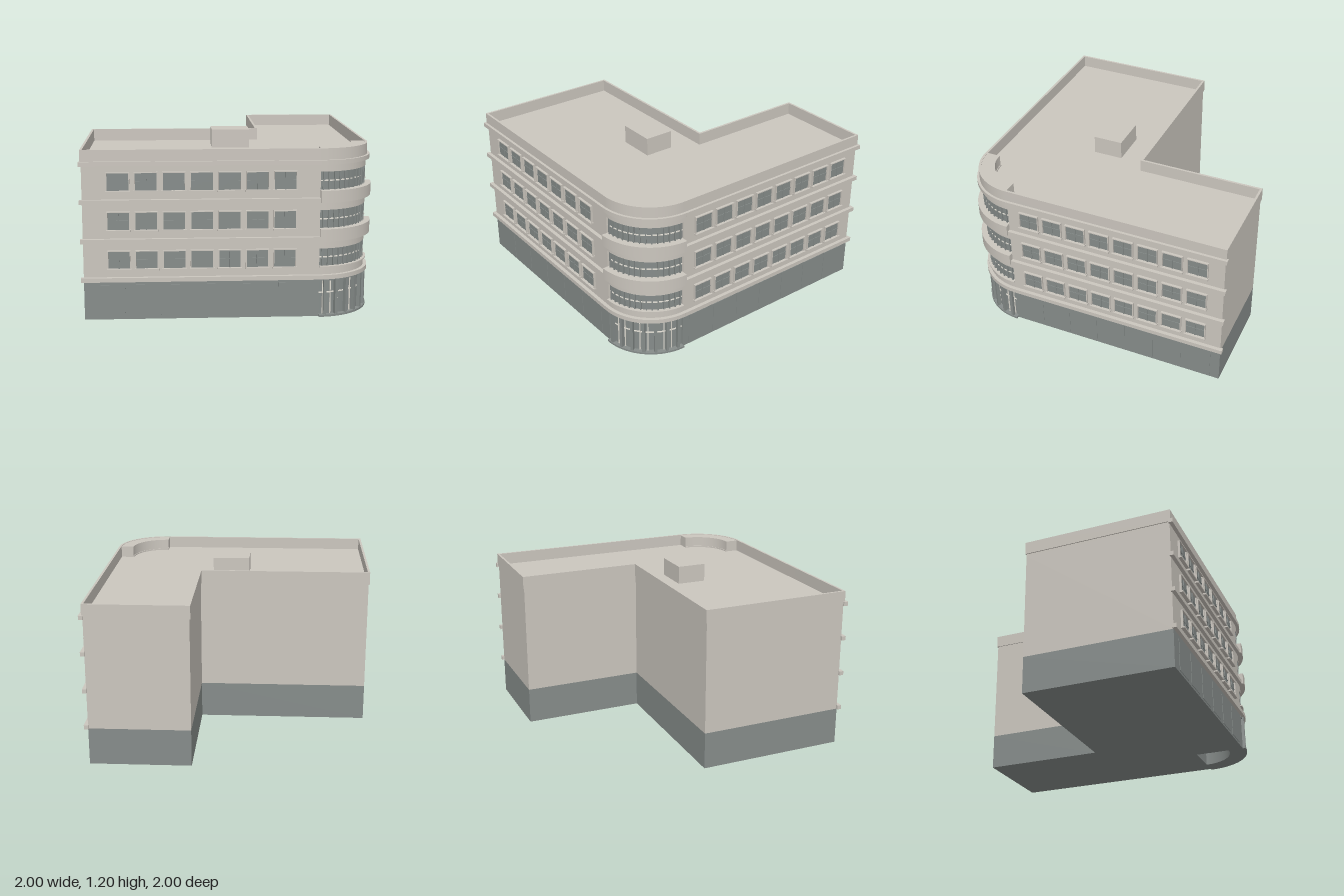
import * as THREE from 'three';
import { toCreasedNormals } from 'three/addons/utils/BufferGeometryUtils.js';

const material = (name, color) => {
  const m = new THREE.MeshStandardMaterial({ color });
  m.name = name;
  return m;
};
const C = 0.6;       // centre of the rounded corner in x and z
const WALL = 0.96;   // plane of the two street walls
const STOREYS = [0.355, 0.62, 0.885];

export function createModel() {
  const stone = material('stone', 0xcbc6be);
  const grey = material('grey glass and plinth', 0x868c8a);
  const cream = material('cream frames', 0xe4e0d6);

  const model = new THREE.Group();
  model.name = 'cornerBuilding';

  const add = (parent, name, geometry, mat) => {
    const mesh = new THREE.Mesh(geometry, mat);
    mesh.name = name;
    parent.add(mesh);
    return mesh;
  };

  // box from its limits
  const box = (parent, name, mat, x0, x1, y0, y1, z0, z1) => {
    const m = add(parent, name, new THREE.BoxGeometry(x1 - x0, y1 - y0, z1 - z0), mat);
    m.position.set((x0 + x1) / 2, (y0 + y1) / 2, (z0 + z1) / 2);
    return m;
  };

  // floor plan (x, z) raised between two heights
  const raise = (parent, name, mat, shape, y0, y1) => {
    const g = new THREE.ExtrudeGeometry(shape, { depth: y1 - y0, bevelEnabled: false, curveSegments: 32 });
    g.rotateX(Math.PI / 2);
    g.translate(0, y1, 0);
    return add(parent, name, toCreasedNormals(g, 0.5), mat);
  };

  // L plan drawn d inside the parapet's outer edge, corner rounded or notched
  const plan = (d, rounded, Type = THREE.Shape) => {
    const s = new Type();
    const back = -0.99 + d, inX = 0.245 + d, inZ = -0.108 + d, front = 0.967 - d;
    s.moveTo(back, inZ);
    s.lineTo(inX, inZ);
    s.lineTo(inX, back);
    s.lineTo(front, back);
    s.lineTo(front, C);
    if (rounded) s.absarc(C, C, front - C, 0, Math.PI / 2, false);
    else s.lineTo(C, C);
    s.lineTo(C, front);
    s.lineTo(back, front);
    s.closePath();
    return s;
  };

  // quarter ring around the corner
  const quarter = (name, mat, r0, r1, y0, y1) => {
    const s = new THREE.Shape();
    s.moveTo(C + r0, C);
    s.lineTo(C + r1, C);
    s.absarc(C, C, r1, 0, Math.PI / 2, false);
    s.lineTo(C, C + r0);
    s.absarc(C, C, r0, Math.PI / 2, 0, true);
    return raise(model, name, mat, s, y0, y1);
  };

  // upright bars spread evenly around the corner
  const cornerBars = (name, mat, count, r, width, depth, y0, y1) => {
    const g = new THREE.BoxGeometry(depth, y1 - y0, width);
    for (let i = 0; i < count; i++) {
      const a = ((i + 0.5) / count) * Math.PI / 2;
      const m = add(model, name, g, mat);
      m.position.set(C + r * Math.cos(a), (y0 + y1) / 2, C + r * Math.sin(a));
      m.rotation.y = -a;
    }
  };

  // main body, roof and parapet
  raise(model, 'groundFloor', grey, plan(0.007, false), 0, 0.265);
  raise(model, 'upperWalls', stone, plan(0.007, false), 0.265, 1.05);
  raise(model, 'roof', stone, plan(0.007, true), 1.05, 1.07);
  const parapet = plan(0, true);
  parapet.holes.push(plan(0.016, true, THREE.Path));
  raise(model, 'parapet', stone, parapet, 1.065, 1.157);
  quarter('cornerParapet', stone, 0.255, 0.36, 1.07, 1.154);
  box(model, 'roofHatch', stone, -0.1, 0.17, 1.07, 1.2, 0.1, 0.31);

  // rounded corner: walls, ledges and balcony-like bands
  for (const [y0, y1] of [[0.295, 0.345], [0.475, 0.53], [0.74, 0.795], [1.0, 1.05]])
    quarter('cornerWall', stone, 0.25, 0.36, y0, y1);
  for (const [y0, y1, r] of [[0.265, 0.295, 0.385], [0.53, 0.615, 0.398], [0.795, 0.877, 0.398], [1.05, 1.08, 0.385]])
    quarter('cornerBand', stone, 0.25, r, y0, y1);
  quarter('cornerSill', stone, 0.25, 0.375, 0.345, 0.353);

  // curved strip windows
  for (const [y0, y1] of [[0.353, 0.475], [0.615, 0.74], [0.877, 1.0]]) {
    const mid = (y0 + y1) / 2;
    quarter('cornerGlass', grey, 0.25, 0.346, y0, y1);
    quarter('cornerTransom', cream, 0.34, 0.35, mid - 0.004, mid + 0.004);
    cornerBars('cornerMullion', grey, 14, 0.35, 0.008, 0.014, y0, y1);
  }

  // curved shop front
  quarter('shopBase', grey, 0.25, 0.38, 0, 0.014);
  quarter('shopGlass', grey, 0.25, 0.346, 0.014, 0.265);
  quarter('shopTransom', cream, 0.34, 0.351, 0.162, 0.17);
  quarter('shopHead', grey, 0.34, 0.362, 0.25, 0.265);
  cornerBars('shopMullion', cream, 10, 0.347, 0.006, 0.012, 0.014, 0.25);
  cornerBars('shopPier', grey, 7, 0.362, 0.02, 0.026, 0.014, 0.265);

  // one double window with surround and sill, u is its centre
  const windowUnit = (parent, u, y, w) => {
    const h = 0.118, a = u - w / 2, b = u + w / 2, t = 0.006;
    const g = new THREE.Group();
    g.name = 'window';
    parent.add(g);
    box(g, 'glass', grey, a, b, y, y + h, WALL - 0.004, WALL + 0.004);
    box(g, 'jamb', stone, a - t, a, y, y + h, WALL - 0.004, 0.975);
    box(g, 'jamb', stone, b, b + t, y, y + h, WALL - 0.004, 0.975);
    box(g, 'lintel', stone, a - t, b + t, y + h, y + h + t, WALL - 0.004, 0.978);
    box(g, 'sill', stone, a - 0.01, b + 0.01, y - 0.011, y, WALL - 0.004, 0.985);
    box(g, 'mullion', grey, u - 0.004, u + 0.004, y, y + h, WALL, 0.969);
    box(g, 'transom', grey, a, b, y + 0.057, y + 0.063, WALL, 0.968);
  };

  // street facade, u runs along it and z points outwards
  const facade = (name, u0, u1, win, shop) => {
    const f = new THREE.Group();
    f.name = name;
    model.add(f);
    for (const y of [0.265, 0.53, 0.795, 1.05])
      box(f, 'stringCourse', stone, u0, u1, y, y + 0.03, 0.955, 0.986);
    for (const y of STOREYS)
      for (let i = 0; i < win.count; i++) windowUnit(f, win.start + i * win.step, y, win.width);
    for (let i = 0; i < shop.count; i++) {
      const u = shop.start + i * shop.step;
      box(f, 'shopPanel', grey, u - shop.width / 2, u + shop.width / 2, 0.017, 0.24, WALL - 0.004, WALL + 0.003);
    }
    return f;
  };
  facade('frontFacade', -1, C,
    { count: 7, start: -0.745, step: 0.185, width: 0.143 },
    { count: 6, start: -0.797, step: 0.2425, width: 0.177 });
  facade('leftFacade', -C, 1,
    { count: 8, start: -0.437, step: 0.1765, width: 0.135 },
    { count: 7, start: -0.4625, step: 0.2155, width: 0.168 }).rotation.y = Math.PI / 2;

  return model;
}
